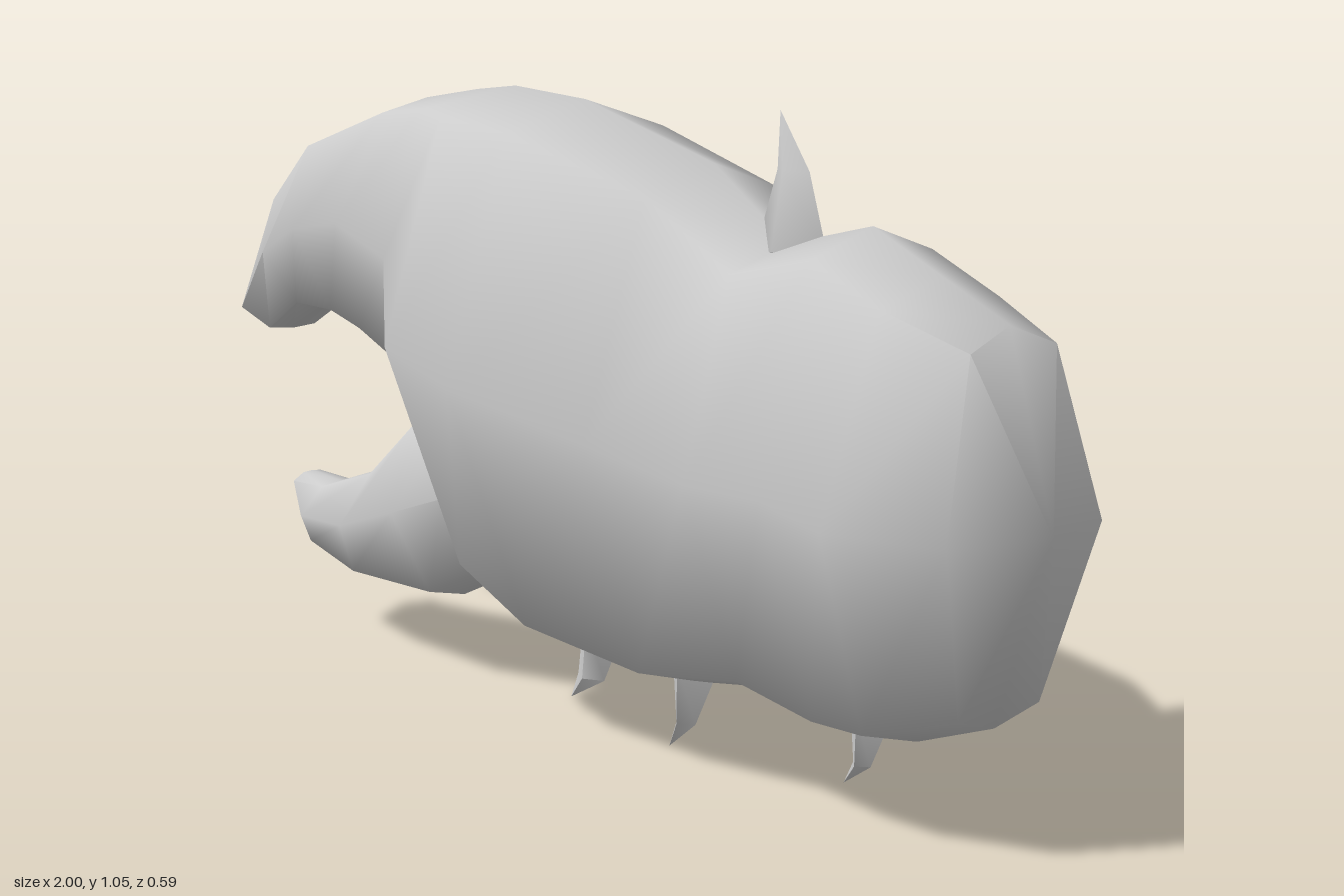
import * as THREE from 'three';
import { toCreasedNormals } from 'three/addons/utils/BufferGeometryUtils.js';

// Half cross-sections: [height -1..1, width 0..1] from the upper ridge to the lower ridge
const SHELL = [[1, 0], [0.89, 0.55], [0, 1], [-0.91, 0.53], [-1, 0]];
const DIAMOND = [[1, 0], [0, 1], [-1, 0]];

// Lofts rings [topX, topY, bottomX, bottomY, halfWidth, midShiftX] between two end points
function loft(start, rings, end, half) {
  const profile = [...half, ...half.slice(1, -1).reverse().map(([u, v]) => [u, -v])];
  const n = profile.length, pos = [], index = [];
  for (const [tx, ty, bx, by, w, shift = 0] of rings) {
    for (const [u, v] of profile) {
      const k = (1 + u) / 2;
      pos.push(bx + (tx - bx) * k + shift * (1 - u * u), by + (ty - by) * k, w * v);
    }
  }
  const last = (rings.length - 1) * n, s = rings.length * n, e = s + 1;
  pos.push(...start, 0, ...end, 0);
  for (let j = 0; j < n; j++) {
    const k = (j + 1) % n;
    index.push(s, k, j, e, last + j, last + k);
    for (let i = 0; i < last; i += n) {
      index.push(i + j, i + k, i + n + j, i + k, i + n + k, i + n + j);
    }
  }
  const g = new THREE.BufferGeometry();
  g.setAttribute('position', new THREE.Float32BufferAttribute(pos, 3));
  g.setIndex(index);
  return toCreasedNormals(g, 1.15);
}

export function createModel() {
  const group = new THREE.Group();
  const material = new THREE.MeshStandardMaterial({ color: 0xcccccc, side: THREE.DoubleSide });
  const add = (name, geometry) => {
    const mesh = new THREE.Mesh(geometry, material);
    mesh.name = name;
    group.add(mesh);
  };

  // Palm and the fixed upper finger, from the finger tip to the wrist
  add('palmAndUpperFinger', loft([-0.99, 0.6], [
    [-1.0, 0.66, -0.94, 0.57, 0.095],
    [-0.91, 0.835, -0.83, 0.625, 0.107],
    [-0.77, 0.95, -0.7, 0.62, 0.125],
    [-0.48, 1.03, -0.58, 0.597, 0.165],
    [-0.33, 1.05, -0.28, 0.5, 0.215],
    [-0.22, 1.06, -0.18, 0.225, 0.285],
    [-0.03, 1.045, 0.01, 0.155, 0.297],
    [0.29, 0.96, 0.27, 0.13, 0.25],
    [0.46, 0.85, 0.48, 0.165, 0.213],
    [0.64, 0.89, 0.65, 0.14, 0.222],
    [0.78, 0.83, 0.75, 0.145, 0.217],
    [0.91, 0.775, 0.9, 0.2, 0.157, 0.045],
  ], [1.0, 0.49], SHELL));

  // Hinged lower finger, its root buried in the palm
  add('lowerFinger', loft([-0.91, 0.285], [
    [-0.88, 0.3, -0.905, 0.262, 0.035],
    [-0.78, 0.295, -0.83, 0.17, 0.075],
    [-0.59, 0.355, -0.66, 0.14, 0.105],
    [-0.43, 0.475, -0.38, 0.15, 0.14],
    [-0.29, 0.5, -0.21, 0.225, 0.14],
    [-0.2, 0.4, -0.16, 0.28, 0.08],
  ], [-0.15, 0.33], SHELL));

  // Hooked spines: base and middle rings, then the tip
  add('topSpine', loft([0.47, 0.8], [
    [0.39, 0.84, 0.545, 0.84, 0.042],
    [0.435, 0.96, 0.505, 0.96, 0.022],
  ], [0.44, 1.048], DIAMOND));

  const bottomSpines = [[0.015, 0.16, -0.07, 0.03, 1], [0.25, 0.145, 0.19, 0.005, 1.05], [0.65, 0.15, 0.598, 0.045, 0.8]];
  bottomSpines.forEach(([x, y, tipX, tipY, s], i) => {
    const midY = tipY + (y - tipY) * 0.36;
    add('bottomSpine' + (i + 1), loft([x, y + 0.03], [
      [x + 0.06 * s, y + 0.02, x - 0.05 * s, y + 0.02, 0.038 * s],
      [x + 0.005, midY, tipX + 0.02, midY, 0.02 * s],
    ], [tipX, tipY], DIAMOND));
  });
  return group;
}
